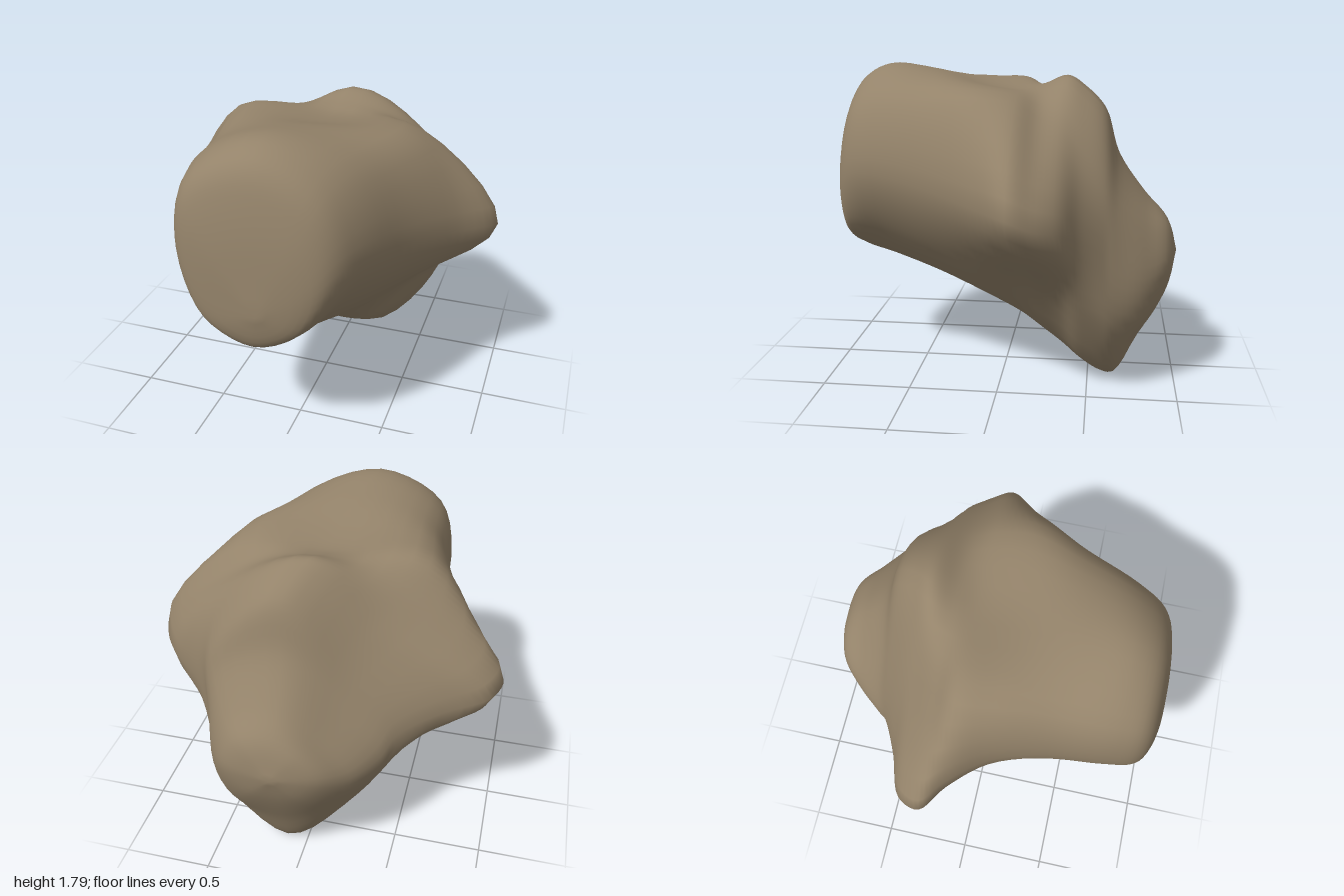
import * as THREE from 'three';
import { mergeVertices } from 'three/addons/utils/BufferGeometryUtils.js';

// Cross-sections front to back: z, centre x, centre y, then eight radii
// counter-clockwise from +x in 45 degree steps
const SECTIONS = [
  [0.94, -0.1, 1.1, 0.33, 0.35, 0.36, 0.38, 0.32, 0.35, 0.36, 0.34],
  [0.86, -0.1, 1.2, 0.44, 0.47, 0.5, 0.5, 0.43, 0.45, 0.51, 0.45],
  [0.7, -0.1, 1.22, 0.53, 0.56, 0.57, 0.55, 0.47, 0.48, 0.58, 0.5],
  [0.4, -0.05, 1.18, 0.62, 0.65, 0.58, 0.63, 0.55, 0.52, 0.63, 0.56],
  [0.1, 0, 1.13, 0.78, 0.74, 0.55, 0.75, 0.69, 0.55, 0.7, 0.61],
  [-0.1, 0, 1.11, 0.97, 0.73, 0.55, 0.77, 0.86, 0.57, 0.79, 0.64],
  [-0.22, 0, 1.06, 0.95, 0.7, 0.63, 0.69, 1.0, 0.58, 0.83, 0.65],
  [-0.35, 0.03, 1.02, 0.83, 0.68, 0.72, 0.58, 0.98, 0.58, 0.88, 0.65],
  [-0.45, 0.09, 0.95, 0.61, 0.63, 0.74, 0.55, 0.8, 0.6, 0.87, 0.64],
  [-0.57, 0.14, 0.85, 0.45, 0.56, 0.72, 0.49, 0.63, 0.63, 0.83, 0.57],
  [-0.65, 0.12, 0.75, 0.43, 0.53, 0.57, 0.43, 0.54, 0.52, 0.74, 0.53],
  [-0.8, 0.1, 0.7, 0.39, 0.42, 0.4, 0.32, 0.39, 0.35, 0.4, 0.41],
  [-0.93, 0.1, 0.75, 0.27, 0.25, 0.2, 0.2, 0.24, 0.2, 0.18, 0.24],
];
const FRONT_TIP = new THREE.Vector3(-0.05, 0.95, 0.99);
const BACK_TIP = new THREE.Vector3(0.1, 0.76, -0.99);
const AROUND = 40;
const ALONG = 70;

// Smooth closed ring through the eight points of one section
function ring([z, cx, cy, ...radii]) {
  const points = radii.map((r, k) => {
    const a = (k * Math.PI) / 4;
    return new THREE.Vector3(cx + r * Math.cos(a), cy + r * Math.sin(a), z);
  });
  const curve = new THREE.CatmullRomCurve3(points, true);
  return Array.from({ length: AROUND }, (_, j) => curve.getPoint(j / AROUND));
}

// Skin the rings with a smooth curve running from front tip to back tip
function boulderGeometry() {
  const rings = SECTIONS.map(ring);
  const positions = [];
  const index = [];
  for (let j = 0; j < AROUND; j++) {
    const spine = new THREE.CatmullRomCurve3([FRONT_TIP, ...rings.map((r) => r[j]), BACK_TIP]);
    for (let i = 0; i <= ALONG; i++) positions.push(...spine.getPoint(i / ALONG).toArray());
  }
  const id = (i, j) => (j % AROUND) * (ALONG + 1) + i;
  for (let j = 0; j < AROUND; j++) {
    for (let i = 0; i < ALONG; i++) {
      const a = id(i, j), b = id(i, j + 1), c = id(i + 1, j), d = id(i + 1, j + 1);
      if (i > 0) index.push(a, c, b);
      if (i < ALONG - 1) index.push(b, c, d);
    }
  }
  const geometry = new THREE.BufferGeometry();
  geometry.setAttribute('position', new THREE.Float32BufferAttribute(positions, 3));
  geometry.setIndex(index);
  const merged = mergeVertices(geometry, 1e-5);
  merged.computeVertexNormals();
  return merged;
}

export function createModel() {
  const stone = new THREE.MeshStandardMaterial({ color: 0x94836a });
  stone.name = 'stone';
  const boulder = new THREE.Mesh(boulderGeometry(), stone);
  boulder.name = 'boulder';
  const model = new THREE.Group();
  model.name = 'rock';
  model.add(boulder);
  return model;
}
